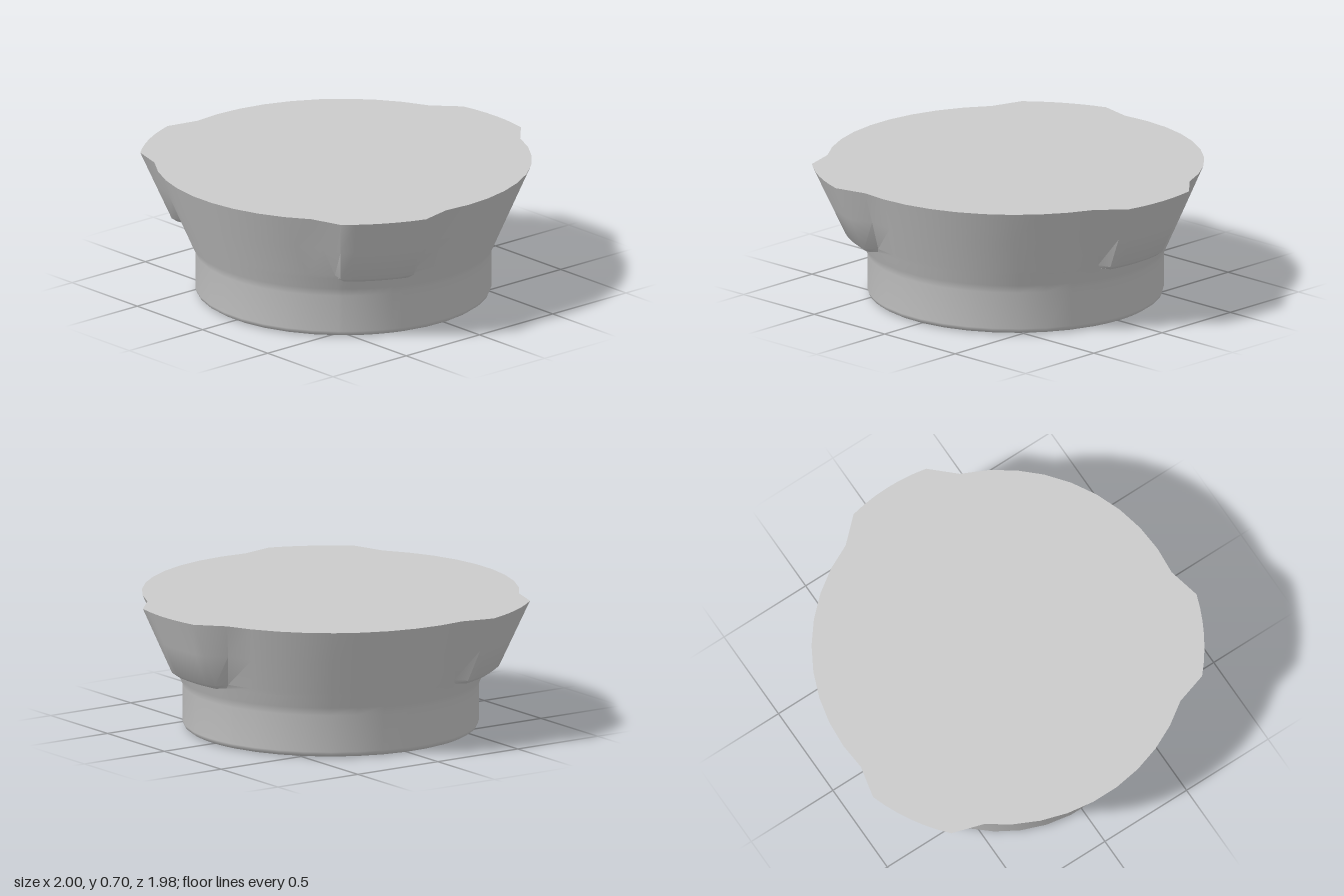
import * as THREE from 'three';
import { toCreasedNormals } from 'three/addons/utils/BufferGeometryUtils.js';

const TOP = 0.7;
const LEDGE = 0.33;
const FACE = 6; // steps across a lug face
const GAP = 8; // points on the wall between two lugs
const mix = THREE.MathUtils.lerp;

// Radius of the flared wall at height y
const wallRadius = (y) => mix(0.775, 0.963, (y - 0.265) / (TOP - 0.265));

// Round section, and section with lugs (outer radius, half width of face, half width at root)
const round = (r, y) => ({ y, r, outer: r, half: 0.206 * r, root: 0.231 * r });
const lobed = (y, outer, half, root) => ({ y, r: wallRadius(y), outer, half, root });

// One horizontal ring: three lugs with flared roots, joined by arcs of the wall
function ring({ y, r, outer, half, root }) {
  const points = [];
  const rootAngle = Math.asin(root / r || 0);
  const sector = (Math.PI * 2) / 3;
  for (let lug = 0; lug < 3; lug++) {
    const a = lug * sector;
    const add = (x, z) => points.push(
      x * Math.cos(a) - z * Math.sin(a), y, x * Math.sin(a) + z * Math.cos(a),
    );
    const rootX = r * Math.cos(rootAngle);
    add(rootX, -root);
    for (let k = 0; k <= FACE; k++) {
      const z = mix(-half, half, k / FACE);
      add(Math.sqrt(outer ** 2 - z ** 2), z);
    }
    add(rootX, root);
    for (let k = 1; k <= GAP; k++) {
      const t = mix(rootAngle, sector - rootAngle, k / (GAP + 1));
      add(r * Math.cos(t), r * Math.sin(t));
    }
  }
  return points;
}

// Skin over successive rings, from the middle of the underside to the middle of the top
function loft(rows) {
  const positions = rows.flatMap(ring);
  const n = positions.length / 3 / rows.length;
  const index = [];
  for (let i = 0; i < rows.length - 1; i++) {
    for (let j = 0; j < n; j++) {
      const a = i * n + j;
      const b = i * n + ((j + 1) % n);
      index.push(a, a + n, b, b, a + n, b + n);
    }
  }
  const geometry = new THREE.BufferGeometry();
  geometry.setAttribute('position', new THREE.Float32BufferAttribute(positions, 3));
  geometry.setIndex(index);
  return toCreasedNormals(geometry, 0.75);
}

export function createModel() {
  const model = new THREE.Group();
  model.name = 'lobedKnob';

  const body = new THREE.Mesh(
    loft([
      // Dished underside
      round(0, 0.1), round(0.3, 0.082), round(0.5, 0.048), round(0.62, 0.018), round(0.68, 0.004),
      // Rounded foot
      round(0.715, 0), round(0.735, 0.003), round(0.75, 0.013), round(0.756, 0.03),
      // Collar and start of the flared wall
      round(0.756, 0.222), round(0.775, 0.265), round(wallRadius(LEDGE), LEDGE),
      // Lugs growing out of the wall above a ledge
      lobed(LEDGE, 0.85, 0.165, 0.185),
      lobed(0.352, 0.878, 0.19, 0.205),
      lobed(0.52, 0.956, 0.207, 0.28),
      lobed(TOP, 1.04, 0.222, 0.35),
      // Flat top
      round(0, TOP),
    ]),
    new THREE.MeshStandardMaterial({ color: 0xcccccc }),
  );
  body.name = 'knobBody';
  // The single lug on +x shifts the axis so the bounds stay centred
  body.position.x = -0.04;
  model.add(body);
  return model;
}
